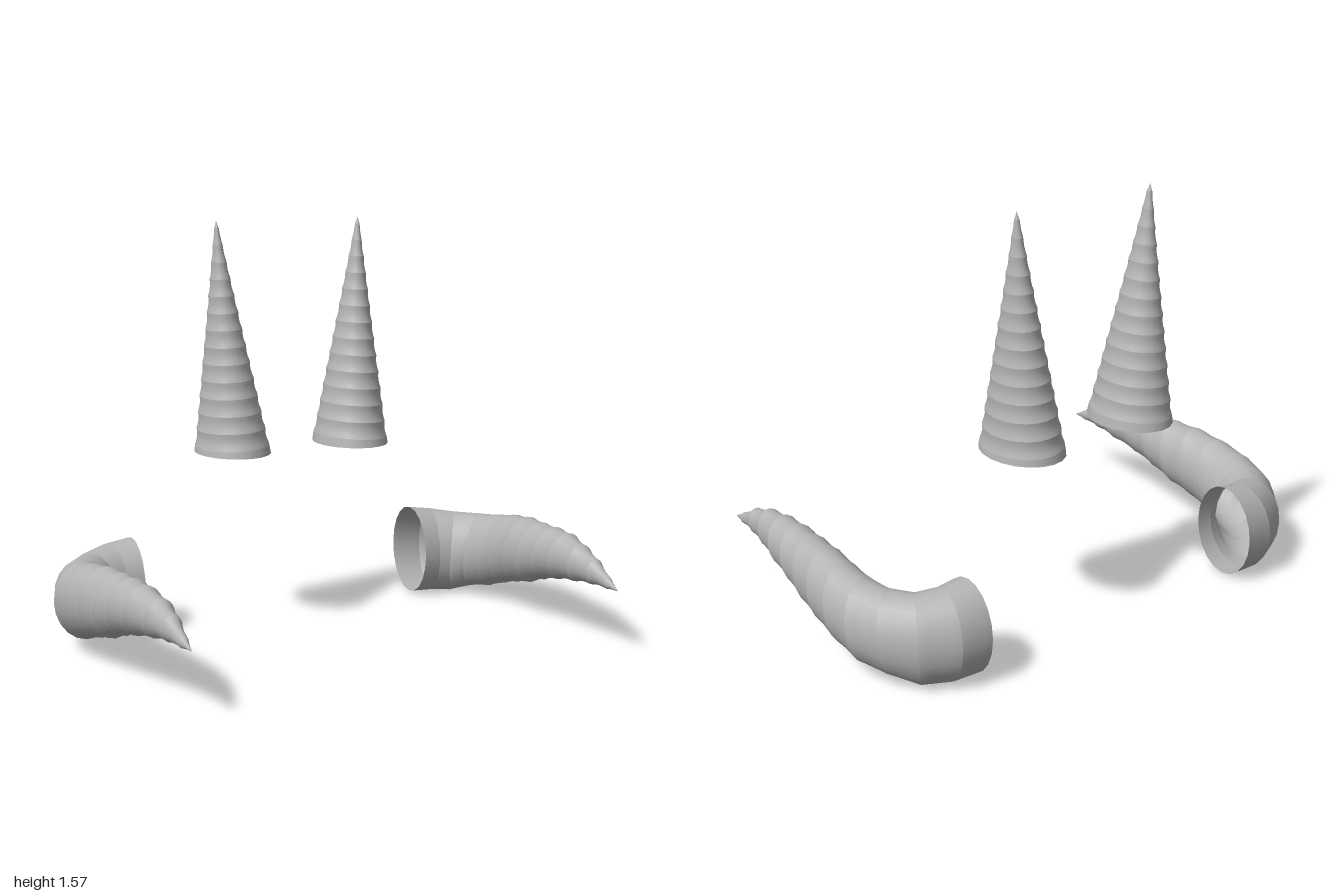
import * as THREE from 'three';

const SIDES = 20, STEPS = 4;

// Lofts elliptical rings { c, a, b, dip }; every band between two ridges has its own
// vertices, so ridges stay crisp while each band is smooth. dip pinches the band's middle.
function ridgedHorn(rings, mirror) {
  const pos = [], index = [];
  const c = new THREE.Vector3(), a = new THREE.Vector3(), b = new THREE.Vector3(), p = new THREE.Vector3();
  for (let r = 0; r < rings.length - 1; r++) {
    const from = rings[r], to = rings[r + 1], base = pos.length / 3;
    for (let i = 0; i <= STEPS; i++) {
      const t = i / STEPS, k = 1 - from.dip * Math.sin(Math.PI * t);
      c.lerpVectors(from.c, to.c, t);
      a.lerpVectors(from.a, to.a, t).multiplyScalar(k);
      b.lerpVectors(from.b, to.b, t).multiplyScalar(k);
      for (let j = 0; j < SIDES; j++) {
        const th = (j / SIDES) * Math.PI * 2;
        p.copy(c).addScaledVector(a, Math.cos(th)).addScaledVector(b, Math.sin(th));
        pos.push(mirror * p.x, p.y, p.z);
      }
    }
    for (let i = 0; i < STEPS; i++) {
      for (let j = 0; j < SIDES; j++) {
        const k = (j + 1) % SIDES, lo = base + i * SIDES, hi = lo + SIDES;
        if (mirror > 0) index.push(lo + j, lo + k, hi + j, lo + k, hi + k, hi + j);
        else index.push(lo + j, hi + j, lo + k, lo + k, hi + j, hi + k);
      }
    }
  }
  const geo = new THREE.BufferGeometry();
  geo.setAttribute('position', new THREE.Float32BufferAttribute(pos, 3));
  geo.setIndex(index);
  geo.computeVertexNormals();
  return geo;
}

// Straight horn: flat base, then evenly spaced ridges up to the tip
function uprightRings() {
  const heights = [0.7];
  for (let k = 0; k < 14; k++) heights.push(0.73 + k * 0.0633);
  heights.push(1.58);
  return heights.map((y, i) => {
    const t = (y - 0.7) / 0.88;
    const s = i === heights.length - 1 ? 0.002 : 1 - t * 0.97;
    const tilt = i === 0 ? 0 : -0.055;
    return {
      c: new THREE.Vector3(0.253 + 0.047 * t, y, -0.357 - 0.028 * t),
      a: new THREE.Vector3(0.141 * s, 0.141 * s * tilt, 0),
      b: new THREE.Vector3(0, 0, -0.178 * s),
      dip: i === 0 ? 0 : 0.035 + 0.09 * t * t,
    };
  });
}

// Curved horn: x, y, z, half width, half height, heading in degrees, lean, dip
const CURVE = [
  [0.612, 0.188, -0.51, 0.14, 0.178, 0, 0, 0],
  [0.705, 0.18, -0.505, 0.138, 0.172, 11, 0, 0],
  [0.79, 0.172, -0.46, 0.126, 0.166, 34, 0.05, 0],
  [0.852, 0.187, -0.38, 0.12, 0.154, 54, 0.1, 0.01],
  [0.885, 0.203, -0.28, 0.117, 0.152, 70, 0.12, 0.02],
  [0.893, 0.228, -0.18, 0.107, 0.147, 82, 0.16, 0.03],
  [0.888, 0.25, -0.07, 0.101, 0.14, 88, 0.2, 0.04],
  [0.878, 0.263, 0.04, 0.095, 0.128, 90, 0.23, 0.05],
  [0.872, 0.283, 0.145, 0.087, 0.112, 90, 0.26, 0.06],
  [0.866, 0.296, 0.255, 0.076, 0.096, 90, 0.24, 0.08],
  [0.853, 0.298, 0.38, 0.058, 0.074, 90, 0.18, 0.11],
  [0.849, 0.289, 0.485, 0.038, 0.05, 90, 0.12, 0.15],
  [0.847, 0.267, 0.58, 0.018, 0.022, 90, 0.05, 0.15],
  [0.845, 0.252, 0.645, 0.0005, 0.0005, 90, 0, 0],
];

function curvedRings() {
  return CURVE.map(([x, y, z, w, h, deg, lean, dip]) => {
    const yaw = THREE.MathUtils.degToRad(deg), sn = Math.sin(yaw), cs = Math.cos(yaw);
    return {
      c: new THREE.Vector3(x, y, z),
      a: new THREE.Vector3(sn * w, 0, -cs * w),
      b: new THREE.Vector3(cs * h * lean, h, sn * h * lean),
      dip,
    };
  });
}

export function createModel() {
  const group = new THREE.Group();
  const horn = new THREE.MeshStandardMaterial({ color: 0xb4b4b4, side: THREE.DoubleSide });
  horn.name = 'horn grey';
  for (const [side, mirror] of [['left', 1], ['right', -1]]) {
    const upright = new THREE.Mesh(ridgedHorn(uprightRings(), mirror), horn);
    upright.name = side + 'UprightHorn';
    const curved = new THREE.Mesh(ridgedHorn(curvedRings(), mirror), horn);
    curved.name = side + 'CurvedHorn';
    group.add(upright, curved);
  }
  return group;
}
